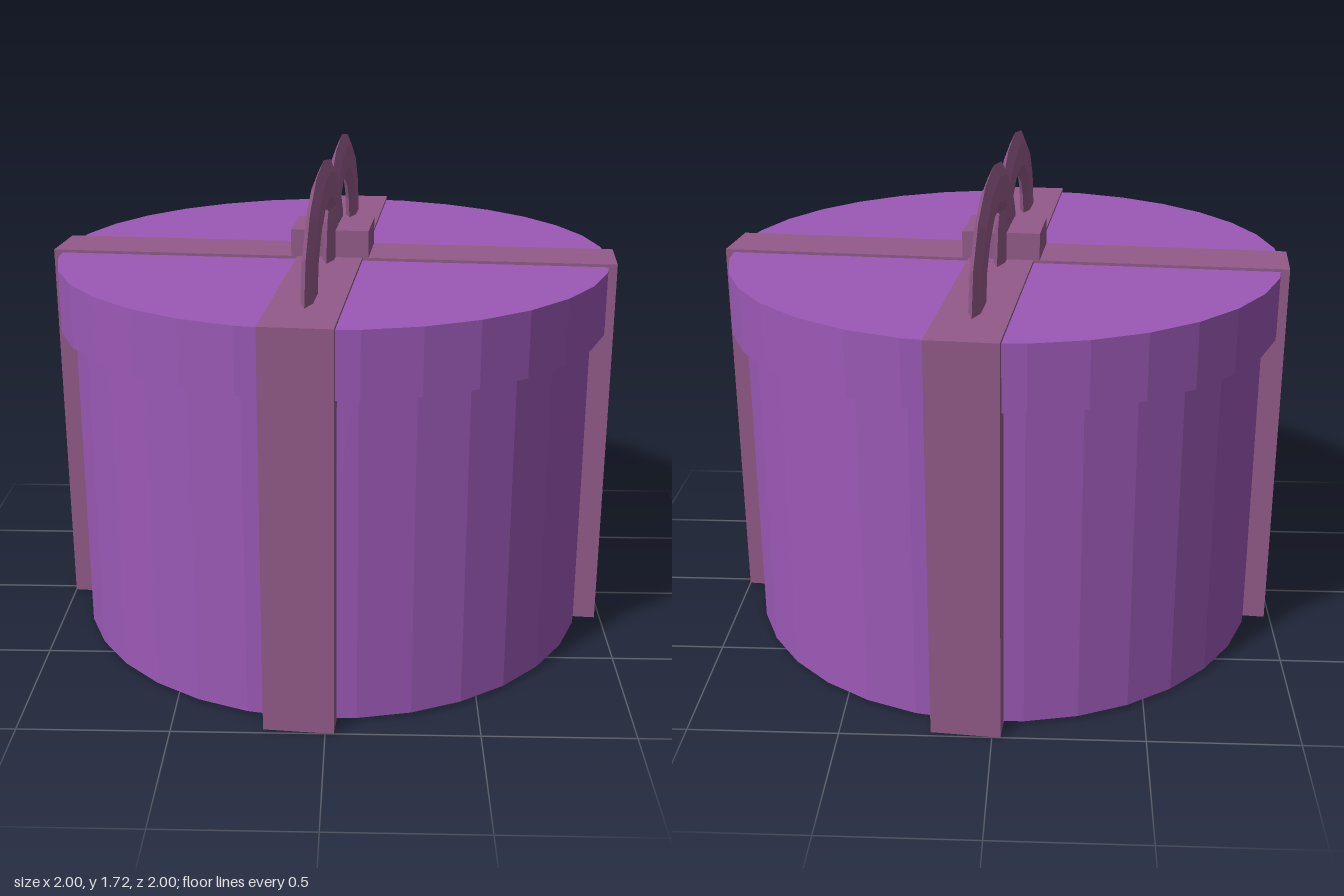
import * as THREE from 'three';

export function createModel() {
  const purple = new THREE.MeshStandardMaterial({ color: 0x9b59b6, flatShading: true });
  purple.name = 'purple card';
  const mauve = new THREE.MeshStandardMaterial({ color: 0x935a89, flatShading: true });
  mauve.name = 'mauve ribbon';

  const model = new THREE.Group();
  model.name = 'giftBox';
  model.rotation.y = -0.087; // the whole box sits slightly turned

  const add = (name, geometry, material, x, y, z) => {
    const mesh = new THREE.Mesh(geometry, material);
    mesh.name = name;
    mesh.position.set(x, y, z);
    model.add(mesh);
    return mesh;
  };

  // Round box and overhanging lid
  add('body', new THREE.CylinderGeometry(0.927, 0.927, 1.2, 32), purple, 0, 0.61, 0);
  add('lid', new THREE.CylinderGeometry(0.975, 0.975, 0.22, 32), purple, 0, 1.235, 0);

  // Two ribbons wrapped right round the box
  add('ribbonFrontToBack', new THREE.BoxGeometry(0.23, 1.355, 1.988), mauve, 0, 0.6775, 0);
  add('ribbonSideToSide', new THREE.BoxGeometry(1.988, 1.355, 0.23), mauve, 0, 0.6775, 0);

  // Knot
  add('knot', new THREE.BoxGeometry(0.272, 0.1, 0.23), mauve, 0, 1.4, 0);

  // Flattened half-ring bow loops, overlapping in the middle
  for (const side of [1, -1]) {
    const loop = new THREE.TorusGeometry(0.385, 0.115, 6, 8, Math.PI);
    loop.scale(1, 0.74, 0.2);
    loop.rotateY(Math.PI / 2);
    add(side > 0 ? 'frontBowLoop' : 'backBowLoop', loop, mauve, 0, 1.353, side * 0.283);
  }
  return model;
}
